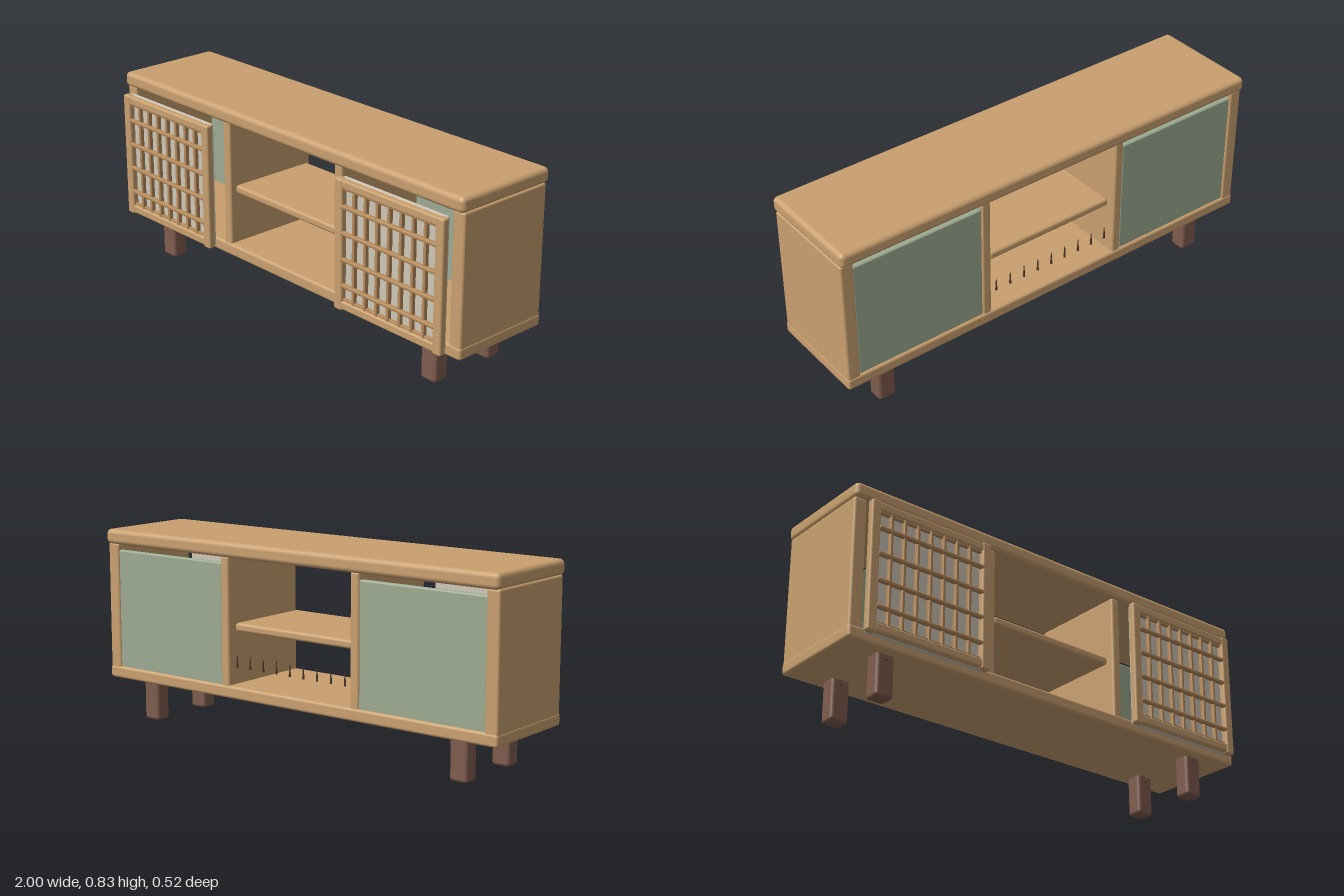
import * as THREE from 'three';
import { RoundedBoxGeometry } from 'three/addons/geometries/RoundedBoxGeometry.js';

const material = (name, color) => {
  const m = new THREE.MeshStandardMaterial({ color });
  m.name = name;
  return m;
};

export function createModel() {
  const oak = material('oak', 0xc9a06f);
  const cane = material('lattice wood', 0xb88c5c);
  const walnut = material('walnut', 0x7f5c4e);
  const sage = material('sage green', 0x9dab92);
  const linen = material('linen', 0xcfc8b8);
  const iron = material('dark peg', 0x4a382c);

  const model = new THREE.Group();
  model.name = 'mediaCabinet';

  // Rounded box given by its extents along each axis
  function box(parent, name, mat, [x0, x1], [y0, y1], [z0, z1], radius = 0.01) {
    const geometry = new RoundedBoxGeometry(x1 - x0, y1 - y0, z1 - z0, 3, radius);
    const mesh = new THREE.Mesh(geometry, mat);
    mesh.name = name;
    mesh.position.set((x0 + x1) / 2, (y0 + y1) / 2, (z0 + z1) / 2);
    parent.add(mesh);
    return mesh;
  }
  const span = (centre, size) => [centre - size / 2, centre + size / 2];

  // Carcass
  box(model, 'top', oak, [-1, 1], [0.762, 0.826], [-0.261, 0.215], 0.02);
  box(model, 'base', oak, [-1, 1], [0.173, 0.226], [-0.25, 0.204], 0.012);
  box(model, 'shelf', oak, [-0.305, 0.3], [0.453, 0.489], [-0.22, 0.18], 0.012);

  for (const side of [-1, 1]) {
    const label = side > 0 ? 'left' : 'right';
    box(model, label + 'Side', oak, span(side * 0.969, 0.058), [0.178, 0.766], [-0.247, 0.201]);
    box(model, label + 'Divider', oak, span(side * 0.335, 0.042), [0.215, 0.766], [-0.245, 0.199]);
    box(model, label + 'BackPanel', sage, span(side * 0.649, 0.59), [0.215, 0.737], [-0.24, -0.215], 0.008);

    // Legs, each with a small screw cap on the front
    for (const z of [0.125, -0.171]) {
      box(model, label + 'Leg', walnut, span(side * 0.8, 0.08), [0, 0.185], span(z, 0.072), 0.014);
      const cap = new THREE.Mesh(new THREE.CylinderGeometry(0.004, 0.004, 0.004, 10), iron);
      cap.name = 'legScrew';
      cap.rotation.x = Math.PI / 2;
      cap.position.set(side * 0.8, 0.15, z + 0.037);
      model.add(cap);
    }

    // Sliding lattice door
    const door = new THREE.Group();
    door.name = label + 'Door';
    door.position.x = side * 0.668 - 0.002;
    model.add(door);
    box(door, 'doorBacking', linen, [-0.272, 0.272], [0.198, 0.742], [0.212, 0.235], 0.006);
    for (const s of [-1, 1]) {
      box(door, 'doorStile', oak, span(s * 0.265, 0.042), [0.194, 0.744], [0.229, 0.261], 0.008);
    }
    for (const y of [0.218, 0.724]) {
      box(door, 'doorRail', oak, [-0.25, 0.25], span(y, 0.036), [0.229, 0.259], 0.008);
    }
    for (let i = -3; i <= 3; i++) {
      box(door, 'latticeUpright', cane, span(i * 0.0625, 0.014), [0.23, 0.712], [0.234, 0.254], 0.004);
    }
    for (let i = 0; i < 4; i++) {
      box(door, 'latticeCrossbar', cane, [-0.25, 0.25], span(0.303 + i * 0.11, 0.015), [0.242, 0.263], 0.005);
    }
    // Thin outer crossbars close to the rails
    for (const y of [0.241, 0.702]) {
      box(door, 'latticeEdge', cane, [-0.25, 0.25], span(y, 0.008), [0.234, 0.25], 0.003);
    }
  }

  // Row of slim tapered pegs at the open back
  const pegGeometry = new THREE.CylinderGeometry(0.0015, 0.005, 0.055, 10);
  for (let i = -4; i <= 4; i++) {
    const peg = new THREE.Mesh(pegGeometry, iron);
    peg.name = 'peg';
    peg.position.set(i * 0.07, 0.332, -0.23);
    model.add(peg);
  }
  return model;
}
